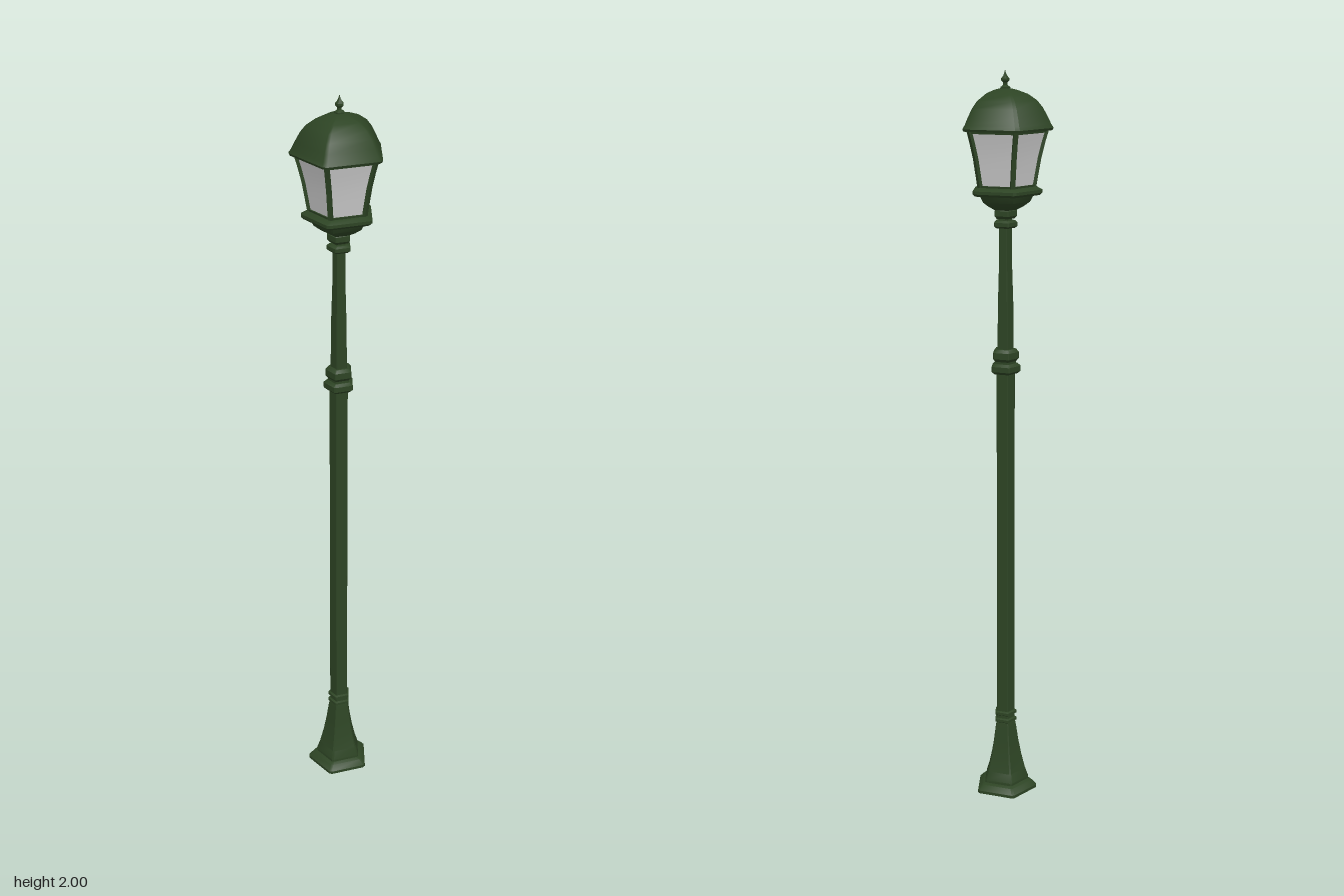
import * as THREE from 'three';
import { toCreasedNormals } from 'three/addons/utils/BufferGeometryUtils.js';

const SIDES = 5;
const STEP = (Math.PI * 2) / SIDES;
const green = new THREE.MeshStandardMaterial({ color: 0x2d4424 });
const glass = new THREE.MeshStandardMaterial({ color: 0xcccccc, side: THREE.DoubleSide });

// Pentagonal loft through [radius, height] sections, bottom to top.
// Each corner is chamfered by the angle `bevel`; one corner points to -z.
function pentaLoft(profile, bevel = 0.05) {
  const rings = profile.map(([r, y]) => {
    const ring = [];
    for (let k = 0; k < SIDES; k++) {
      for (const s of [-1, 1]) {
        const a = Math.PI + k * STEP + s * bevel;
        const d = r * Math.cos(STEP / 2) / Math.cos(STEP / 2 - bevel);
        ring.push([d * Math.sin(a), y, d * Math.cos(a)]);
      }
    }
    return ring;
  });
  const pos = [];
  const n = SIDES * 2;
  for (let i = 0; i < rings.length - 1; i++) {
    for (let j = 0; j < n; j++) {
      const k = (j + 1) % n;
      const a = rings[i][j], b = rings[i][k], c = rings[i + 1][k], d = rings[i + 1][j];
      if (profile[i][0] > 0) pos.push(...a, ...b, ...c);
      if (profile[i + 1][0] > 0) pos.push(...a, ...c, ...d);
      if (profile[i][0] === 0) pos.push(); // pole of a cap needs only one triangle
    }
  }
  const g = new THREE.BufferGeometry();
  g.setAttribute('position', new THREE.Float32BufferAttribute(pos, 3));
  return toCreasedNormals(g, 0.6);
}

export function createModel() {
  const model = new THREE.Group();
  model.name = 'streetLamp';
  const lamp = new THREE.Group();
  lamp.name = 'lamp';
  lamp.position.z = 0.011; // the pentagon's axis sits in front of its middle
  model.add(lamp);

  const add = (name, profile, material = green, bevel) => {
    const mesh = new THREE.Mesh(pentaLoft(profile, bevel), material);
    mesh.name = name;
    lamp.add(mesh);
    return mesh;
  };

  // Foot
  add('basePlate', [[0, 0], [0.091, 0], [0.091, 0.008], [0.076, 0.022], [0.056, 0.027], [0, 0.027]]);
  add('baseBell', [[0, 0.025], [0.067, 0.027], [0.067, 0.034], [0.058, 0.058], [0.047, 0.1],
    [0.038, 0.145], [0.032, 0.185], [0.029, 0.2], [0, 0.2]]);

  // Post
  add('lowerPole', [[0.027, 0.19], [0.027, 1.21]]);
  add('upperPole', [[0.024, 1.24], [0.023, 1.38], [0.019, 1.5], [0.019, 1.64]]);

  // Rounded rings around the post: [name, height, half height, radius]
  const rings = [
    ['lowerRing', 0.207, 0.007, 0.033], ['lowerRing', 0.228, 0.007, 0.033],
    ['middleCollar', 1.214, 0.014, 0.043], ['middleCollar', 1.25, 0.017, 0.038],
    ['neckRing', 1.601, 0.01, 0.034], ['neckRing', 1.63, 0.014, 0.033],
  ];
  for (const [name, y, h, r] of rings) {
    add(name, [[0, y - h], [r * 0.8, y - h], [r, y - h * 0.5], [r, y + h * 0.5], [r * 0.8, y + h], [0, y + h]]);
  }
  add('collarWaist', [[0.031, 1.22], [0.031, 1.24]]);

  // Lantern cup and sill
  add('lanternCup', [[0, 1.638], [0.03, 1.638], [0.05, 1.648], [0.068, 1.66], [0.078, 1.678], [0, 1.678]]);
  add('lanternSill', [[0, 1.676], [0.094, 1.678], [0.101, 1.684], [0.101, 1.692], [0.086, 1.7], [0, 1.7]]);

  // Panes flare outward toward the roof
  const flare = [[0.079, 1.695], [0.085, 1.73], [0.093, 1.775], [0.103, 1.815], [0.114, 1.852]];
  add('glassPanes', flare.map(([r, y]) => [r - 0.003, y]), glass, 0.01);

  // Curved bars at the corners
  const outline = new THREE.Shape([
    ...flare.map(([r, y]) => new THREE.Vector2(r + 0.002, y)),
    ...flare.map(([r, y]) => new THREE.Vector2(r - 0.012, y)).reverse(),
  ]);
  const barGeometry = new THREE.ExtrudeGeometry(outline, { depth: 0.012, bevelEnabled: false });
  barGeometry.translate(0, 0, -0.006);
  for (let k = 0; k < SIDES; k++) {
    const bar = new THREE.Mesh(barGeometry, green);
    bar.name = 'lanternBar';
    bar.rotation.y = Math.PI / 2 + k * STEP;
    lamp.add(bar);
  }
  // Thin rails along the bottom and top of the panes
  add('bottomRail', [[0.081, 1.697], [0.083, 1.705], [0.074, 1.705]]);
  add('topRail', [[0.1, 1.84], [0.112, 1.84], [0.116, 1.853]]);

  // Domed roof with an eave
  add('roof', [[0, 1.846], [0.128, 1.846], [0.131, 1.852], [0.124, 1.862], [0.115, 1.88], [0.102, 1.903],
    [0.086, 1.922], [0.062, 1.938], [0.034, 1.948], [0.012, 1.953], [0, 1.954]]);

  // Finial
  add('finial', [[0.014, 1.948], [0.014, 1.956], [0.006, 1.961], [0.006, 1.967], [0.012, 1.972],
    [0.012, 1.978], [0.006, 1.984], [0.003, 1.99], [0, 2]]);

  return model;
}
